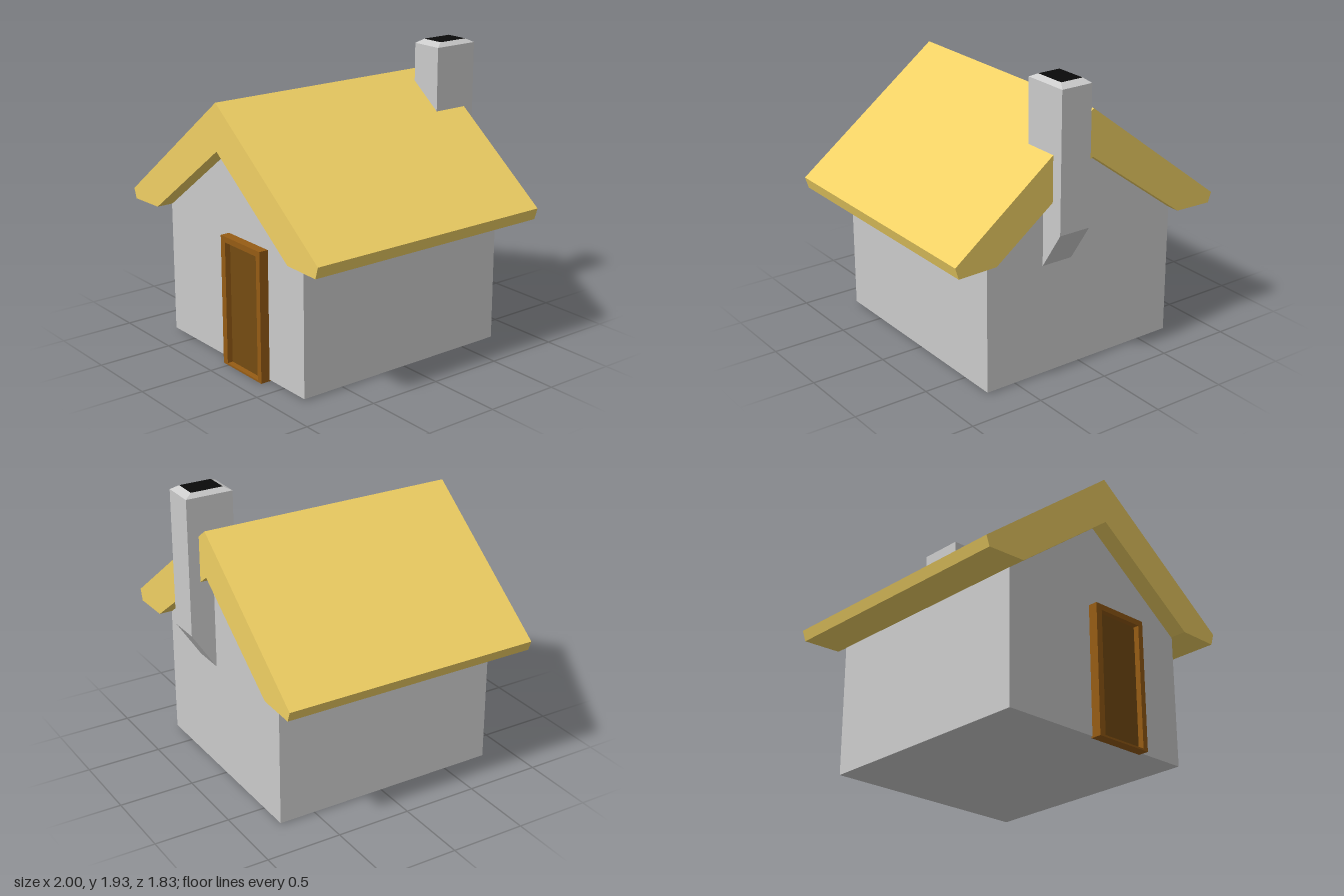
import * as THREE from 'three';

const material = (color) => new THREE.MeshStandardMaterial({ color, flatShading: true });

const polygon = (points) => new THREE.Shape(points.map(([x, y]) => new THREE.Vector2(x, y)));

const rectangle = (x0, x1, y0, y1) => [[x0, y0], [x1, y0], [x1, y1], [x0, y1]];

// Extrudes an outline in x/y from z = back to z = front
function prism(name, shape, back, front, mat) {
  const geometry = new THREE.ExtrudeGeometry(shape, { depth: front - back, bevelEnabled: false });
  geometry.translate(0, 0, back);
  const mesh = new THREE.Mesh(geometry, mat);
  mesh.name = name;
  return mesh;
}

export function createModel() {
  const model = new THREE.Group();
  model.name = 'house';
  const stone = material(0xcccccc);
  const thatch = material(0xf0d064);
  const wood = material(0x965c14);
  const darkWood = material(0x754c12);

  // Walls with gables
  const gable = polygon([[-0.715, 0.01], [0.715, 0.01], [0.715, 0.885], [0, 1.414], [-0.715, 0.885]]);
  model.add(prism('walls', gable, -0.75, 0.803, stone));

  // Thick overhanging roof
  const roofSection = polygon([
    [-1, 0.947], [-0.976, 0.88], [-0.71, 0.888], [0, 1.414],
    [0.71, 0.885], [0.976, 0.88], [1, 0.957], [0, 1.718],
  ]);
  model.add(prism('roof', roofSection, -0.841, 0.916, thatch));

  // Door: frame with an opening, and the recessed panel
  const door = new THREE.Group();
  door.name = 'door';
  const frame = polygon(rectangle(-0.052, 0.36, 0, 0.86));
  frame.holes.push(new THREE.Path(polygon(rectangle(-0.007, 0.322, 0.012, 0.822)).getPoints()));
  door.add(prism('doorFrame', frame, 0.795, 0.866, wood));
  door.add(prism('doorPanel', polygon(rectangle(-0.012, 0.327, 0.006, 0.827)), 0.797, 0.828, darkWood));
  model.add(door);

  // Chimney: side outline (depth, height) extruded across its width
  const chimney = new THREE.Group();
  chimney.name = 'chimney';
  const side = polygon([[0.6, 0.74], [0.75, 0.745], [0.916, 1.0], [0.916, 1.908], [0.6, 1.908]]);
  const shaft = prism('chimneyShaft', side, 0.08, 0.3, stone);
  shaft.geometry.rotateY(Math.PI / 2); // (x, y, z) becomes (z, y, -x)
  chimney.add(shaft);

  // Bevelled rim: a four-sided tapered ring around the flue
  const rimGeometry = new THREE.CylinderGeometry(Math.SQRT1_2, Math.SQRT1_2, 0.026, 4, 1, true, Math.PI / 4);
  const p = rimGeometry.attributes.position;
  for (let i = 0; i < p.count; i++) {
    const top = p.getY(i) > 0;
    p.setX(i, p.getX(i) * (top ? 0.157 : 0.22));
    p.setZ(i, p.getZ(i) * (top ? 0.216 : 0.316));
  }
  const rim = new THREE.Mesh(rimGeometry, stone);
  rim.name = 'chimneyRim';
  rim.position.set(0.19, 1.921, -0.758);
  chimney.add(rim);

  const flue = new THREE.Mesh(new THREE.PlaneGeometry(0.157, 0.216).rotateX(-Math.PI / 2), material(0x0a0a0a));
  flue.name = 'flueOpening';
  flue.position.set(0.19, 1.934, -0.758);
  chimney.add(flue);
  model.add(chimney);

  return model;
}
